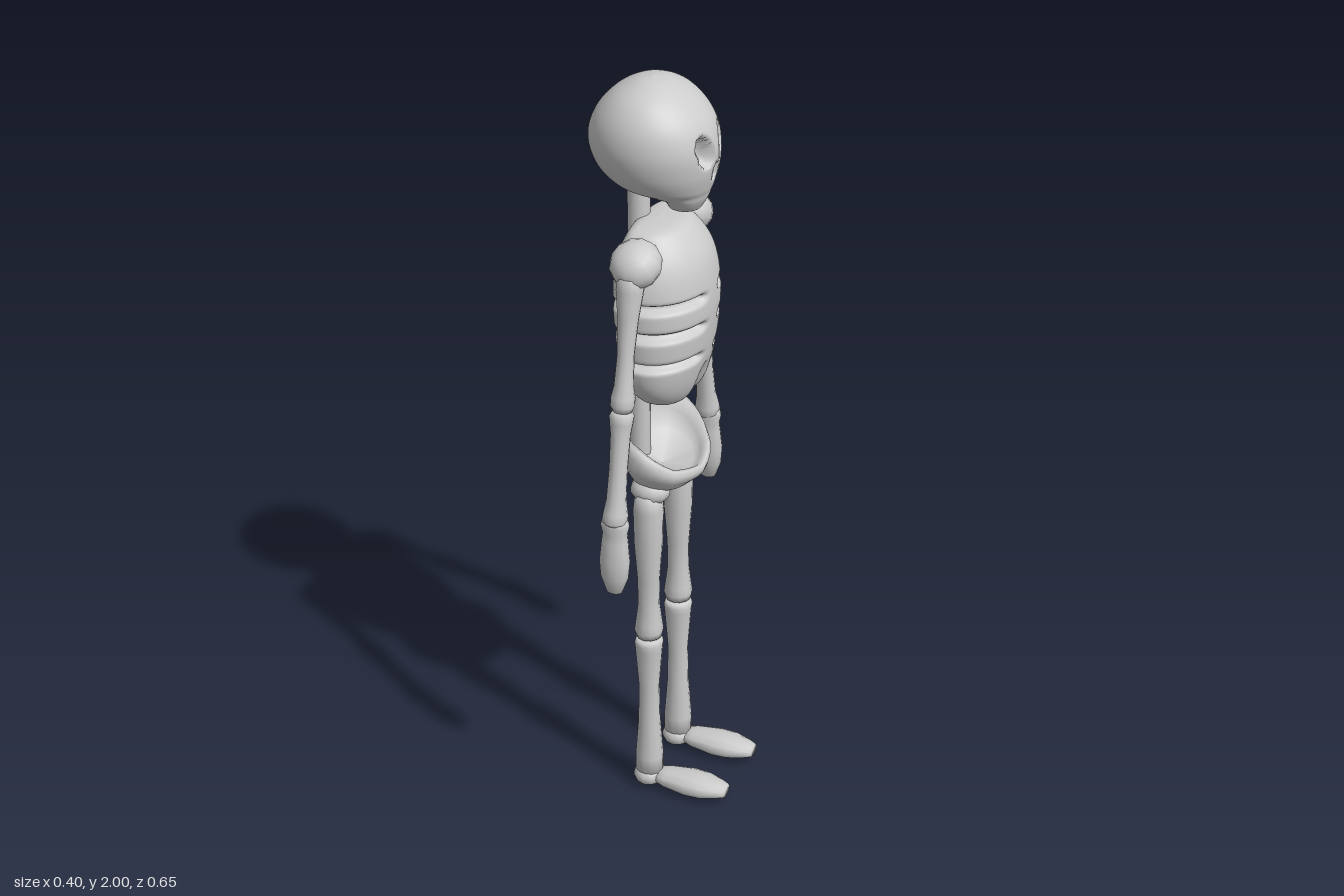
import * as THREE from 'three';

const { smoothstep, lerp } = THREE.MathUtils;
const material = new THREE.MeshStandardMaterial({ color: 0xcccccc });

function addMesh(parent, name, geometry) {
  const mesh = new THREE.Mesh(geometry, material);
  mesh.name = name;
  parent.add(mesh);
  return mesh;
}

// Closed-around skin: point(u, a) gives a position, u from 0 to 1, a from 0 to 2 PI
function skin(rows, sides, point) {
  const pos = [], index = [];
  for (let i = 0; i <= rows; i++) {
    for (let j = 0; j < sides; j++) {
      pos.push(...point(i / rows, (j / sides) * Math.PI * 2));
      if (i === rows) continue;
      const a = i * sides + j, b = i * sides + ((j + 1) % sides);
      index.push(a, a + sides, b, b, a + sides, b + sides);
    }
  }
  const g = new THREE.BufferGeometry();
  g.setAttribute('position', new THREE.Float32BufferAttribute(pos, 3));
  g.setIndex(index);
  g.computeVertexNormals();
  return g;
}

// Smooth lookup through rows of [y, back x, front x, half width]
function sections(rows) {
  const curve = new THREE.CubicInterpolant(rows.map((_, i) => i), rows.flat(), 4);
  return (u) => [...curve.evaluate(u * (rows.length - 1))];
}

// Turned bone from a to b; profile holds [distance along 0..1, radius]
function bone(parent, name, a, b, profile, sides = 12) {
  const from = new THREE.Vector3(...a), dir = new THREE.Vector3(...b).sub(from);
  const len = dir.length();
  const g = new THREE.LatheGeometry(profile.map(([t, r]) => new THREE.Vector2(r, t * len)), sides);
  const mesh = addMesh(parent, name, g);
  mesh.position.copy(from);
  mesh.quaternion.setFromUnitVectors(new THREE.Vector3(0, 1, 0), dir.normalize());
  return mesh;
}

function ball(parent, name, center, radii) {
  const mesh = addMesh(parent, name, new THREE.SphereGeometry(1, 12, 9));
  mesh.position.set(...center);
  mesh.scale.set(...radii);
  return mesh;
}

// Skull with pressed-in eye sockets and nose
function skullGeometry() {
  const at = sections([
    [1.677, 0.035, 0.035, 0], [1.678, 0, 0.072, 0.035], [1.69, -0.005, 0.083, 0.05],
    [1.71, -0.025, 0.094, 0.066], [1.725, -0.09, 0.099, 0.086], [1.745, -0.145, 0.106, 0.113],
    [1.79, -0.185, 0.116, 0.14], [1.85, -0.2, 0.117, 0.153], [1.91, -0.182, 0.095, 0.143],
    [1.96, -0.14, 0.05, 0.108], [1.99, -0.09, 0, 0.052], [2, -0.045, -0.045, 0],
  ]);
  const dent = (dz, dy) => smoothstep(1 - dz * dz - dy * dy, 0, 0.7);
  return skin(88, 120, (u, a) => {
    const [y, back, front, w] = at(u);
    let x = (back + front) / 2 + ((front - back) / 2) * Math.cos(a);
    const z = w * Math.sin(a);
    if (Math.cos(a) > 0) {
      const eye = Math.abs(z) - 0.044 + (y - 1.845) * -0.2;
      x -= 0.04 * dent(eye / 0.027, (y - 1.845) / 0.043);
      x -= 0.018 * dent(z / 0.015, (y - 1.782) / 0.024);
    }
    return [x, y, z];
  });
}

// Rib cage: flat back, rounded front, grooves between ribs, split lower edge
function ribGeometry() {
  const at = sections([
    [1.155, 0, 0.03, 0], [1.162, -0.03, 0.05, 0.075], [1.19, -0.052, 0.072, 0.118],
    [1.24, -0.075, 0.09, 0.15], [1.32, -0.095, 0.106, 0.165], [1.42, -0.106, 0.115, 0.17],
    [1.5, -0.108, 0.11, 0.167], [1.56, -0.105, 0.095, 0.15], [1.61, -0.09, 0.063, 0.118],
    [1.634, -0.07, 0.03, 0.085], [1.64, -0.03, -0.03, 0],
  ]);
  return skin(170, 96, (u, a) => {
    const [y, back, front, w] = at(u);
    const mid = lerp(back, front, 0.38), c = Math.cos(a);
    const x = c > 0 ? (front - mid) * c : -(mid - back) * Math.pow(-c, 0.4);
    const z = w * Math.sin(a);
    const side = smoothstep(Math.abs(z), 0.025, 0.06) * smoothstep(c, -0.85, -0.5);
    let groove = 0;
    for (const g of [1.465, 1.388, 1.302]) groove += Math.exp(-(((y - g) / 0.009) ** 2));
    const split = c > 0 ? Math.exp(-((z / 0.018) ** 2)) * smoothstep(-y, -1.28, -1.17) : 0;
    const s = 1 - 0.17 * side * groove;
    return [mid + x * s - 0.035 * split, y + 0.03 * split, z * s];
  });
}

// Pelvis: bowl with a high back, a low front lip and a hollow inside
function pelvisGeometry() {
  const rim = [0.965, 0.995, 1.06, 1.1, 1.068];
  const rimY = (a) => {
    const t = (a > Math.PI ? 2 * Math.PI - a : a) / (Math.PI / 4);
    const i = Math.min(3, Math.floor(t));
    return lerp(rim[i], rim[i + 1], t - i);
  };
  // [radius, height toward the rim, floor height]
  const wall = [[0, 0, 0.888], [0.35, 0.05, 0.893], [0.72, 0.2, 0.905], [0.98, 0.5, 0.92], [1.02, 0.8, 0.92],
    [0.97, 1, 0.92], [0.88, 0.99, 0.93], [0.8, 0.7, 0.94], [0.65, 0.3, 0.945], [0, 0, 0.945]];
  return skin(wall.length - 1, 32, (u, a) => {
    const [r, h, floor] = wall[Math.round(u * (wall.length - 1))];
    return [-0.022 + 0.112 * r * Math.cos(a), lerp(floor, rimY(a), h), 0.154 * r * Math.sin(a)];
  });
}

// One arm; s is +1 or -1 for the side
function addArm(parent, s, label) {
  const arm = new THREE.Group();
  arm.name = label + 'Arm';
  parent.add(arm);
  const x = -0.022, elbow = [x, 1.228, s * 0.243], wrist = [x, 0.935, s * 0.293];
  const shoulder = ball(arm, 'shoulder', [x, 1.583, s * 0.157], [0.064, 0.054, 0.066]);
  shoulder.rotation.x = s * 0.5;
  bone(arm, 'upperArm', [x, 1.585, s * 0.182], elbow, [
    [0, 0], [0.02, 0.034], [0.15, 0.034], [0.35, 0.026], [0.6, 0.021], [0.82, 0.024],
    [0.9, 0.03], [0.96, 0.03], [1, 0.024], [1.01, 0]]);
  bone(arm, 'forearm', elbow, wrist, [
    [-0.01, 0], [0, 0.024], [0.04, 0.031], [0.1, 0.029], [0.2, 0.025], [0.5, 0.023],
    [0.78, 0.025], [0.9, 0.031], [0.97, 0.033], [1, 0.026], [1.01, 0]]);
  const hand = bone(arm, 'hand', [x, 0.955, s * 0.291], [x, 0.73, s * 0.3], [
    [0, 0], [0.02, 0.024], [0.1, 0.028], [0.2, 0.024], [0.3, 0.026], [0.55, 0.03], [0.75, 0.027],
    [0.95, 0.015], [1, 0]]);
  hand.scale.x = 1.35;
}

// One leg with its foot
function addLeg(parent, s, label) {
  const leg = new THREE.Group();
  leg.name = label + 'Leg';
  parent.add(leg);
  const x = -0.02, z = s * 0.095, knee = [x, 0.476, z];
  ball(leg, 'hipJoint', [x, 0.915, s * 0.082], [0.052, 0.038, 0.046]);
  bone(leg, 'thigh', [x, 0.92, z], knee, [
    [0, 0], [0.02, 0.034], [0.12, 0.039], [0.35, 0.037], [0.6, 0.029], [0.77, 0.028],
    [0.9, 0.035], [0.95, 0.038], [0.99, 0.034], [1, 0]]);
  bone(leg, 'shin', knee, [x, 0.03, z], [
    [0, 0], [0.01, 0.034], [0.04, 0.038], [0.08, 0.036], [0.14, 0.034], [0.35, 0.027],
    [0.6, 0.029], [0.85, 0.037], [0.97, 0.037], [1, 0]]);
  ball(leg, 'ankle', [x, 0.034, z], [0.042, 0.032, 0.045]);
  const foot = bone(leg, 'foot', [-0.01, 0.034, z], [0.202, 0.036, z], [
    [0, 0], [0.02, 0.024], [0.2, 0.038], [0.5, 0.048], [0.7, 0.046], [0.9, 0.033], [0.99, 0.024], [1, 0]]);
  foot.scale.x = 0.64;
}

export function createModel() {
  const skeleton = new THREE.Group();
  skeleton.name = 'skeleton';
  addMesh(skeleton, 'skull', skullGeometry());
  bone(skeleton, 'spine', [-0.085, 0.95, 0], [-0.083, 1.78, 0], [[0, 0], [0, 0.028], [1, 0.028], [1, 0]]);
  addMesh(skeleton, 'ribCage', ribGeometry());
  addMesh(skeleton, 'pelvis', pelvisGeometry());
  for (const [s, label] of [[1, 'right'], [-1, 'left']]) {
    addArm(skeleton, s, label);
    addLeg(skeleton, s, label);
  }
  return skeleton;
}
